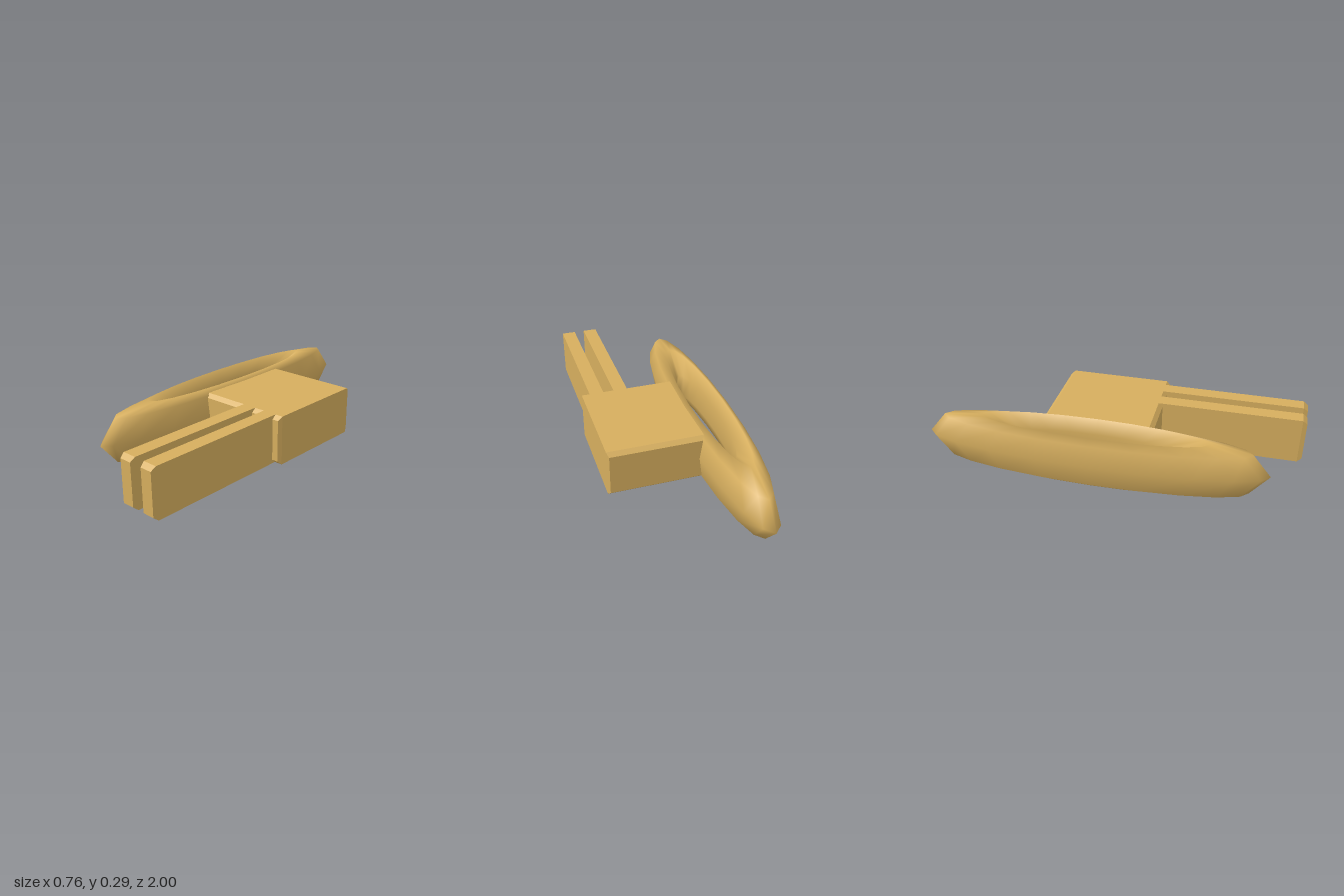
import * as THREE from 'three';

const gold = new THREE.MeshStandardMaterial({ color: 0xd6ae5e });
gold.name = 'gold';

// Block whose front and back ends taper in, like a chamfer round each end face
function chamferedBlock(name, x0, x1, z0, z1, insetX, insetY, bevel) {
  const w = x1 - x0, h = 0.26, d = z1 - z0;
  let geo = new THREE.BoxGeometry(w, h, d, 1, 1, 3);
  const p = geo.attributes.position;
  for (let i = 0; i < p.count; i++) {
    const x = p.getX(i), y = p.getY(i), z = p.getZ(i);
    if (Math.abs(z) > d / 2 - 1e-4) {
      p.setX(i, x - Math.sign(x) * insetX);
      p.setY(i, y - Math.sign(y) * insetY);
    } else {
      p.setZ(i, Math.sign(z) * (d / 2 - bevel));
    }
  }
  geo = geo.toNonIndexed();
  geo.computeVertexNormals();
  const mesh = new THREE.Mesh(geo, gold);
  mesh.name = name;
  mesh.position.set((x0 + x1) / 2, 0.148, (z0 + z1) / 2);
  return mesh;
}

export function createModel() {
  const model = new THREE.Group();
  model.name = 'ringWithProngs';

  // Stretched ring lying flat, with a seven-sided tube
  const ringGeo = new THREE.TorusGeometry(0.665, 0.257, 7, 20);
  ringGeo.rotateX(Math.PI / 2);
  ringGeo.scale(0.155, 0.588, 1);
  const ring = new THREE.Mesh(ringGeo, gold);
  ring.name = 'ring';
  ring.position.set(-0.238, 0.148, -0.078);
  model.add(ring);

  // Block joined to the side of the ring
  model.add(chamferedBlock('block', -0.13, 0.379, -0.375, 0.222, 0.01, 0.02, 0.022));

  // Two long prongs running forward from the block
  for (const [name, x] of [['innerProng', 0.123], ['outerProng', 0.258]]) {
    model.add(chamferedBlock(name, x, x + 0.077, 0.1, 1, 0.006, 0.02, 0.024));
  }
  return model;
}
